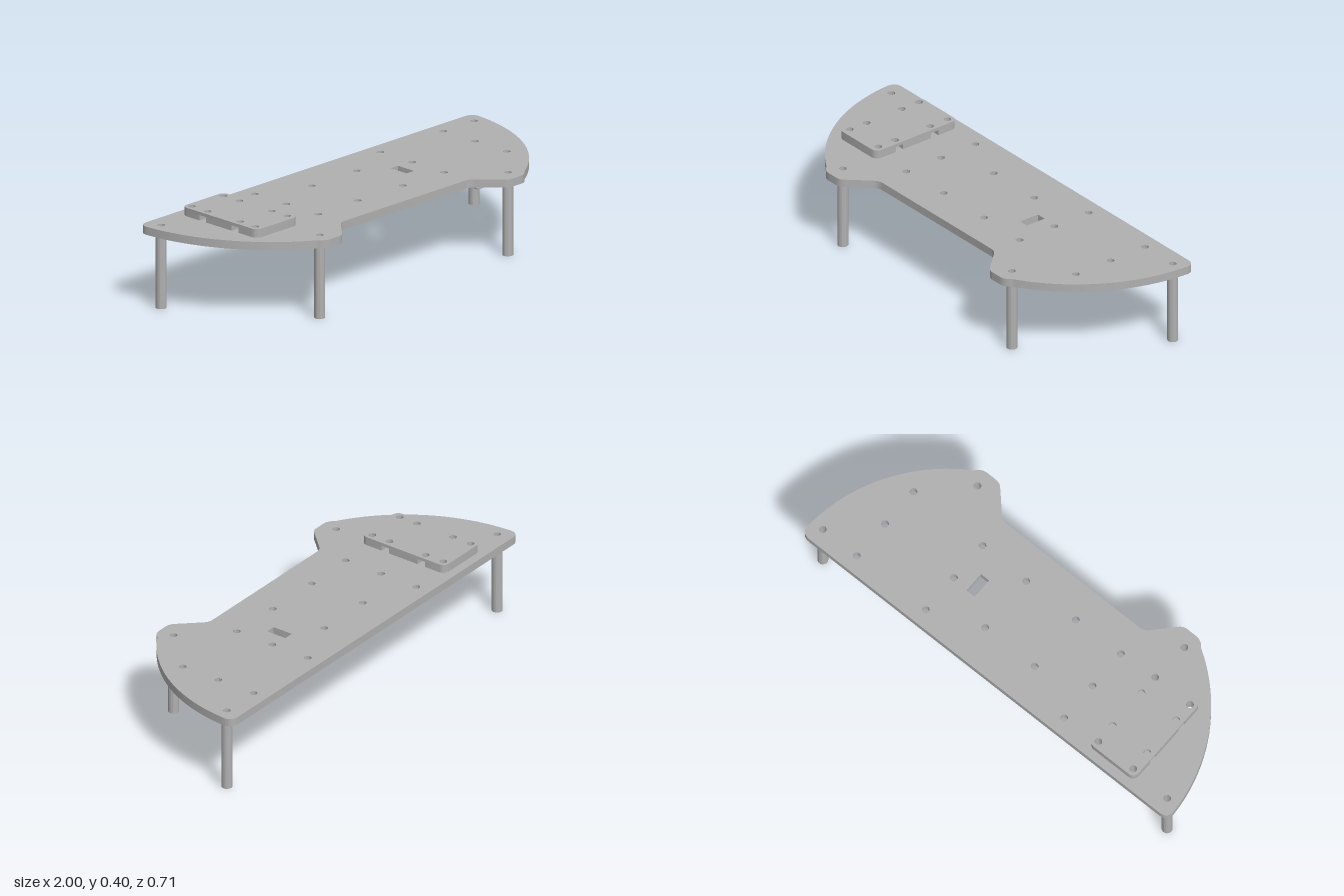
import * as THREE from 'three';
import { toCreasedNormals } from 'three/addons/utils/BufferGeometryUtils.js';

const grey = new THREE.MeshStandardMaterial({ color: 0xb0b0b0 });
grey.name = 'grey';

// Horizontal slab: outline given in (x, z), spanning bottom..top in y
function slab(name, shape, bottom, top) {
  const geo = new THREE.ExtrudeGeometry(shape, { depth: top - bottom, bevelEnabled: false, curveSegments: 24 });
  geo.rotateX(Math.PI / 2).translate(0, top, 0);
  const mesh = new THREE.Mesh(toCreasedNormals(geo, 0.5), grey);
  mesh.name = name;
  return mesh;
}

function circle(x, z, r) {
  return new THREE.Path().absarc(x, z, r, 0, Math.PI * 2, true);
}

function rect(x0, z0, x1, z1, r = 0, Type = THREE.Shape) {
  const s = new Type();
  s.moveTo(x0 + r, z0);
  s.lineTo(x1 - r, z0);
  if (r) s.absarc(x1 - r, z0 + r, r, -Math.PI / 2, 0);
  s.lineTo(x1, z1 - r);
  if (r) s.absarc(x1 - r, z1 - r, r, 0, Math.PI / 2);
  s.lineTo(x0 + r, z1);
  if (r) s.absarc(x0 + r, z1 - r, r, Math.PI / 2, Math.PI);
  s.lineTo(x0, z0 + r);
  if (r) s.absarc(x0 + r, z0 + r, r, Math.PI, Math.PI * 1.5);
  return s;
}

function box(name, x0, x1, y0, y1, z0, z1) {
  const mesh = new THREE.Mesh(new THREE.BoxGeometry(x1 - x0, y1 - y0, z1 - z0), grey);
  mesh.position.set((x0 + x1) / 2, (y0 + y1) / 2, (z0 + z1) / 2);
  mesh.name = name;
  return mesh;
}

// Deck outline: straight back, curved ends, two front tabs
function deckShape() {
  const s = new THREE.Shape();
  s.moveTo(-0.955, -0.353);
  s.lineTo(0.955, -0.353);
  s.quadraticCurveTo(1, -0.353, 1, -0.31);
  s.absarc(0.205, -0.353, 0.795, 0.054, 1.02);
  s.quadraticCurveTo(0.6, 0.353, 0.57, 0.353);
  s.lineTo(0.525, 0.353);
  s.quadraticCurveTo(0.5, 0.353, 0.485, 0.335);
  s.lineTo(0.405, 0.25);
  s.quadraticCurveTo(0.388, 0.23, 0.36, 0.23);
  s.lineTo(-0.36, 0.23);
  s.quadraticCurveTo(-0.388, 0.23, -0.405, 0.25);
  s.lineTo(-0.485, 0.335);
  s.quadraticCurveTo(-0.5, 0.353, -0.525, 0.353);
  s.lineTo(-0.57, 0.353);
  s.quadraticCurveTo(-0.6, 0.353, -0.6206, 0.3244);
  s.absarc(-0.205, -0.353, 0.795, Math.PI - 1.02, Math.PI - 0.054);
  s.quadraticCurveTo(-1, -0.353, -0.955, -0.353);
  return s;
}

export function createModel() {
  const model = new THREE.Group();
  model.name = 'deck on legs';

  // Deck with mirrored screw holes and one slot
  const deck = deckShape();
  const holes = [[0.94, -0.283], [0.755, -0.283], [0.378, -0.283], [0.135, -0.185], [0.378, -0.097],
    [0.135, 0.085], [0.378, 0.09], [0.755, 0.09], [0.565, 0.282]];
  for (const [x, z] of holes) for (const side of [-1, 1]) deck.holes.push(circle(x * side, z, 0.016));
  deck.holes.push(circle(0.755, -0.097, 0.016), circle(-0.565, -0.283, 0.016), circle(-0.565, 0.09, 0.016));
  deck.holes.push(rect(0.257, -0.107, 0.302, -0.012, 0, THREE.Path));
  model.add(slab('deck', deck, 0.33, 0.366));

  // Hollow legs
  for (const side of [-1, 1]) {
    for (const [x, z] of [[0.94, -0.283], [0.565, 0.282]]) {
      const ring = new THREE.Shape().absarc(x * side, z, 0.023, 0, Math.PI * 2);
      ring.holes.push(circle(x * side, z, 0.016));
      model.add(slab('leg', ring, 0, 0.33));
    }
  }

  // Mounting block: pocketed lower layer under a full top layer
  const block = new THREE.Group();
  block.name = 'mountingBlock';
  const x0 = -0.785, x1 = -0.535, z0 = -0.313, z1 = 0.127, r = 0.03, pocket = 0.05;
  const lower = new THREE.Shape();
  lower.moveTo(x0 + r, z0);
  lower.lineTo(x1 - r, z0);
  lower.absarc(x1 - r, z0 + r, r, -Math.PI / 2, 0);
  for (const z of [-0.19, 0]) {
    lower.lineTo(x1, z - 0.02);
    lower.lineTo(x1 - pocket, z - 0.02);
    lower.lineTo(x1 - pocket, z + 0.02);
    lower.lineTo(x1, z + 0.02);
  }
  lower.absarc(x1 - r, z1 - r, r, 0, Math.PI / 2);
  lower.absarc(x0 + r, z1 - r, r, Math.PI / 2, Math.PI);
  for (const z of [0, -0.19]) {
    lower.lineTo(x0, z + 0.02);
    lower.lineTo(x0 + pocket, z + 0.02);
    lower.lineTo(x0 + pocket, z - 0.02);
    lower.lineTo(x0, z - 0.02);
  }
  lower.absarc(x0 + r, z0 + r, r, Math.PI, Math.PI * 1.5);
  const upper = rect(x0, z0, x1, z1, r);
  for (const x of [-0.755, -0.565]) {
    for (const z of [-0.283, 0.09]) {
      lower.holes.push(circle(x, z, 0.016));
      upper.holes.push(circle(x, z, 0.016));
    }
    for (const z of [-0.19, 0]) upper.holes.push(circle(x, z, 0.016));
  }
  block.add(slab('blockBase', lower, 0.366, 0.39), slab('blockTop', upper, 0.39, 0.404));
  model.add(block);

  // Circuit tray below the deck: rim, board and components
  const tray = new THREE.Group();
  tray.name = 'circuitTray';
  const rim = rect(0.45, -0.26, 0.67, 0.16, 0.012);
  rim.holes.push(rect(0.466, -0.244, 0.654, 0.144, 0, THREE.Path));
  tray.add(slab('trayRim', rim, 0.306, 0.33));
  tray.add(box('circuitBoard', 0.47, 0.65, 0.312, 0.33, -0.24, 0.14));
  const chips = [[0.49, 0.52, 0.3, 0.013, 0.068], [0.6, 0.635, 0.298, 0.025, 0.055],
    [0.53, 0.595, 0.298, -0.105, -0.04], [0.55, 0.575, 0.291, -0.083, -0.065],
    [0.485, 0.515, 0.3, -0.085, 0], [0.61, 0.64, 0.298, -0.155, -0.107],
    [0.49, 0.53, 0.298, -0.155, -0.115], [0.55, 0.59, 0.301, -0.02, 0.03],
    [0.61, 0.64, 0.302, -0.08, -0.03], [0.49, 0.515, 0.3, -0.205, -0.168]];
  for (const [a, b, y, c, d] of chips) tray.add(box('chip', a, b, y, 0.312, c, d));
  tray.add(box('rearConnector', 0.54, 0.6, 0.28, 0.312, -0.232, -0.18));
  // Front connector with a small notch in its end
  tray.add(box('frontConnector', 0.525, 0.598, 0.265, 0.312, 0.09, 0.131));
  tray.add(box('connectorLip', 0.525, 0.598, 0.265, 0.272, 0.131, 0.144));
  tray.add(box('connectorNose', 0.525, 0.598, 0.28, 0.312, 0.131, 0.144));
  model.add(tray);

  return model;
}
